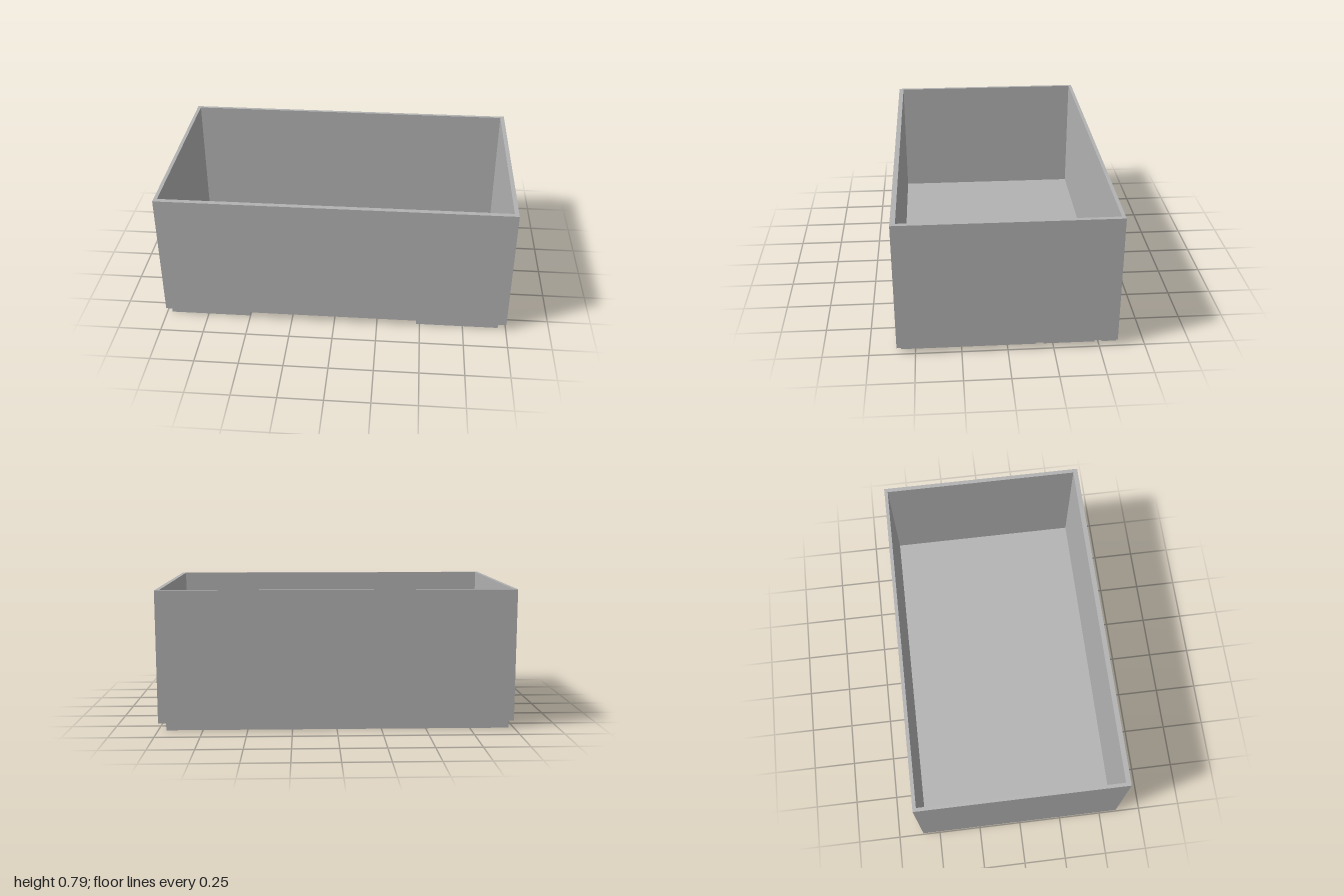
import * as THREE from 'three';

const BASE_TOP = 0.04, FLOOR_TOP = 0.06, RIM = 0.785;

// Rectangle corners in plan, as [x, z]
const rect = (x0, x1, z0, z1) => [[x0, z0], [x1, z0], [x1, z1], [x0, z1]];
const toVectors = (points) => points.map(([x, z]) => new THREE.Vector2(x, z));

// Flat slab with a plan outline, between two heights, with an optional opening
function slab(name, material, outline, y0, y1, opening) {
  const shape = new THREE.Shape(toVectors(outline));
  if (opening) shape.holes.push(new THREE.Path(toVectors(opening)));
  const geometry = new THREE.ExtrudeGeometry(shape, { depth: y1 - y0, bevelEnabled: false });
  geometry.rotateX(Math.PI / 2).translate(0, y1, 0);
  const mesh = new THREE.Mesh(geometry, material);
  mesh.name = name;
  return mesh;
}

export function createModel() {
  const grey = new THREE.MeshStandardMaterial({ color: 0xb2b2b2 });
  grey.name = 'grey';
  const group = new THREE.Group();
  group.name = 'openBox';

  // Base plate: a wide recess at the front, two narrow slots on each side
  const left = 0.955, right = -0.97, back = -0.6, front = 0.58;
  const slots = [[-0.52, -0.48], [-0.2, -0.16]];
  const side = (edge, inner) =>
    slots.flatMap(([z0, z1]) => [[edge, z0], [inner, z0], [inner, z1], [edge, z1]]);
  const plate = [
    [right, back], [left, back],
    ...side(left, 0.88),
    [left, front], [0.48, front], [0.48, 0.45], [-0.5, 0.45], [-0.5, front], [right, front],
    ...side(right, -0.9).reverse(),
  ];
  group.add(slab('basePlate', grey, plate, 0, BASE_TOP));

  // Floor and surrounding walls
  const outer = rect(-1, 1, -0.6, 0.6);
  const inner = rect(-0.98, 0.976, -0.58, 0.572);
  group.add(slab('floor', grey, inner, BASE_TOP, FLOOR_TOP));
  group.add(slab('walls', grey, outer, BASE_TOP, RIM, inner));

  return group;
}
